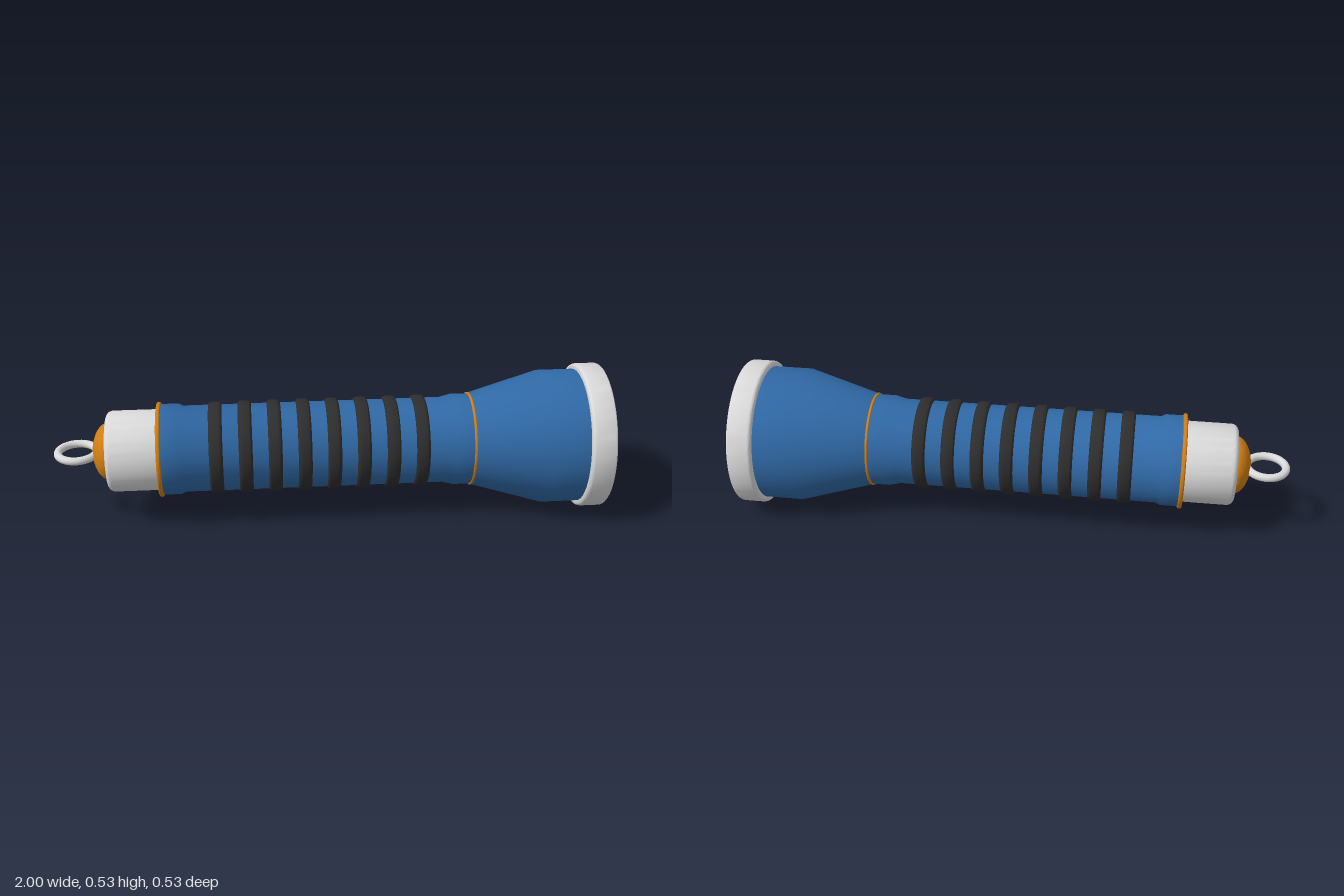
import * as THREE from 'three';
import { toCreasedNormals } from 'three/addons/utils/BufferGeometryUtils.js';

const AXIS_Y = 0.265; // height of the torch's long axis

export function createModel() {
  const group = new THREE.Group();
  const mat = (name, color) => {
    const m = new THREE.MeshStandardMaterial({ color });
    m.name = name;
    return m;
  };
  const blue = mat('blue casing', 0x3069a6);
  const black = mat('black rubber', 0x2d2d2d);
  const orange = mat('orange trim', 0xd07d14);
  const silver = mat('silver metal', 0xd9d9d9);

  // Turned part: profile of [x along axis, radius], from tail to front
  const turn = (name, material, profile) => {
    const pts = profile.map(([x, r]) => new THREE.Vector2(r, x));
    const geo = toCreasedNormals(new THREE.LatheGeometry(pts, 72), 0.5);
    geo.rotateZ(-Math.PI / 2);
    const mesh = new THREE.Mesh(geo, material);
    mesh.name = name;
    mesh.position.y = AXIS_Y;
    group.add(mesh);
    return mesh;
  };

  // Rounded corner between angles a0 and a1 (0 = outward, PI/2 = forward)
  const corner = (x, r, rad, a0, a1, n = 5) =>
    Array.from({ length: n + 1 }, (_, i) => {
      const a = a0 + ((a1 - a0) * i) / n;
      return [x + Math.sin(a) * rad, r + Math.cos(a) * rad];
    });
  const Q = Math.PI / 2;

  // Band with rounded edges
  const band = (name, material, x, w, rIn, rOut, rad) =>
    turn(name, material, [
      [x - w / 2, rIn],
      ...corner(x - w / 2 + rad, rOut - rad, rad, -Q, 0),
      ...corner(x + w / 2 - rad, rOut - rad, rad, 0, Q),
      [x + w / 2, rIn],
    ]);

  // Barrel, with slightly raised collars at both ends
  turn('barrel', blue, [
    [-0.62, 0], [-0.62, 0.165], [-0.545, 0.165], [-0.53, 0.157],
    [0.41, 0.157], [0.45, 0.167], [0.515, 0.167], [0.515, 0],
  ]);

  // Flared lamp head
  turn('lampHead', blue, [
    [0.51, 0], [0.51, 0.168], [0.775, 0.245], [0.912, 0.245], [0.912, 0],
  ]);

  // Grip rings
  for (let i = 0; i < 8; i++) {
    band('gripRing', black, -0.414 + i * 0.1057, 0.05, 0.14, 0.168, 0.014);
  }

  // Trim bands
  band('rearTrimBand', orange, -0.616, 0.016, 0.14, 0.173, 0.007);
  band('frontTrimBand', orange, 0.514, 0.01, 0.15, 0.172, 0.004);

  // Bezel with recessed lens
  turn('bezel', silver, [
    [0.91, 0.235],
    ...corner(0.922, 0.253, 0.012, -Q, 0),
    ...corner(0.99, 0.255, 0.01, 0, Q),
    [1, 0.213], [0.985, 0.213],
  ]);
  turn('lens', silver, [[0.985, 0.215], [0.985, 0]]);

  // Tail cap and its domed button
  turn('tailCap', silver, [
    [-0.807, 0],
    ...corner(-0.782, 0.122, 0.025, -Q, 0),
    [-0.615, 0.147],
  ]);
  turn('tailDome', orange, Array.from({ length: 13 }, (_, i) => {
    const a = (i / 12) * Q;
    return [-0.8 - 0.06 * Math.cos(a), 0.105 * Math.sin(a)];
  }));

  // Hanging loop, lying flat
  const loop = new THREE.Mesh(new THREE.TorusGeometry(0.069, 0.0145, 20, 56), silver);
  loop.name = 'hangingLoop';
  loop.rotation.x = Math.PI / 2;
  loop.position.set(-0.9165, AXIS_Y, 0);
  group.add(loop);

  return group;
}
